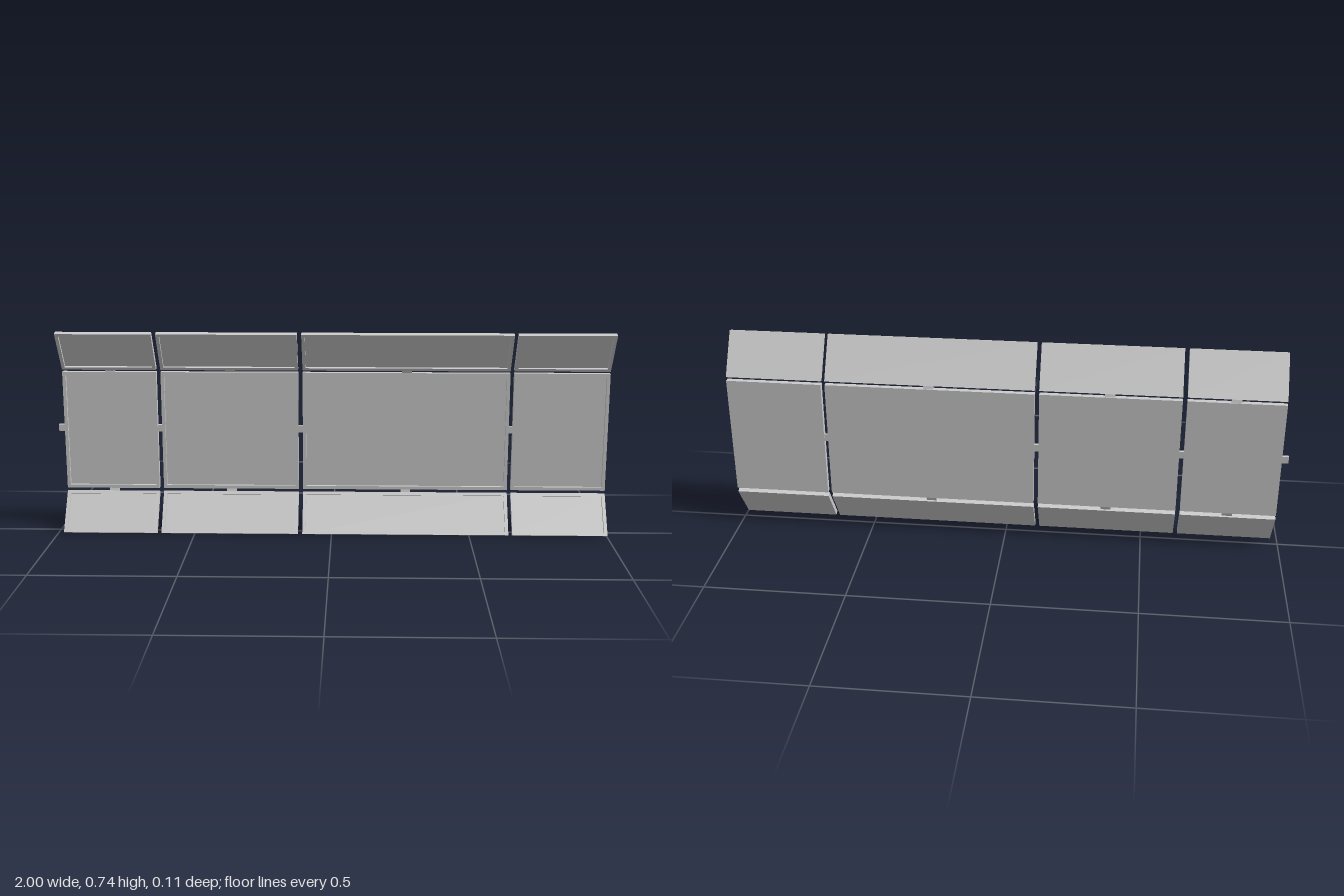
import * as THREE from 'three';

const material = new THREE.MeshStandardMaterial({ color: 0xcccccc });
const RIM = 0.012;    // width of the raised border
const PLATE = 0.5;    // plate share of the full thickness

// Panel columns as [left edge, right edge]
const columns = [[-0.977, -0.636], [-0.62, -0.122], [-0.106, 0.642], [0.656, 1.0]];

// Panel rows: back lower edge, back upper edge and thickness vector, each as [y, z]
const rows = {
  centre: { from: [0.152, -0.056], to: [0.587, -0.056], thick: [0, 0.02] },
  upperFlap: { from: [0.6005, -0.0545], to: [0.7445, 0.0385], thick: [-0.006, 0.0178] },
  lowerFlap: { from: [0.002, 0.04], to: [0.1355, -0.0535], thick: [0.007, 0.0178] },
};

function rectangle(target, w, h) {
  target.moveTo(-w / 2, 0 - h / 2);
  target.lineTo(w / 2, -h / 2);
  target.lineTo(w / 2, h / 2);
  target.lineTo(-w / 2, h / 2);
  target.closePath();
  return target;
}

// Tray-like panel: a back plate with a raised border on its front
function makePanel(name, x0, x1, { from, to, thick }) {
  const dy = to[0] - from[0], dz = to[1] - from[1];
  const w = x1 - x0, h = Math.hypot(dy, dz);

  const outline = rectangle(new THREE.Shape(), w, h);
  outline.holes.push(rectangle(new THREE.Path(), w - 2 * RIM, h - 2 * RIM));
  const rim = new THREE.ExtrudeGeometry(outline, { depth: 1 - PLATE, bevelEnabled: false });
  rim.translate(0, 0, PLATE);
  const plate = new THREE.BoxGeometry(w, h, PLATE).translate(0, 0, PLATE / 2);

  // Lay the panel along its row direction, slightly sheared on the flaps
  const placement = new THREE.Matrix4().makeBasis(
    new THREE.Vector3(1, 0, 0),
    new THREE.Vector3(0, dy / h, dz / h),
    new THREE.Vector3(0, thick[0], thick[1]),
  ).setPosition((x0 + x1) / 2, (from[0] + to[0]) / 2, (from[1] + to[1]) / 2);

  const group = new THREE.Group();
  group.name = name;
  for (const [part, geometry] of [['rim', rim], ['plate', plate]]) {
    const mesh = new THREE.Mesh(geometry.applyMatrix4(placement), material);
    mesh.name = part;
    group.add(mesh);
  }
  return group;
}

function makeTab(name, w, h, d, x, y, z) {
  const mesh = new THREE.Mesh(new THREE.BoxGeometry(w, h, d), material);
  mesh.name = name;
  mesh.position.set(x, y, z);
  return mesh;
}

export function createModel() {
  const model = new THREE.Group();
  model.name = 'foldingPanelArray';

  columns.forEach(([x0, x1], i) => {
    for (const [name, row] of Object.entries(rows)) {
      model.add(makePanel(`${name}Panel${i + 1}`, x0, x1, row));
    }

    // Tab on the column's right-hand side, joining its neighbour
    const end = i === 0 ? -1.0 : columns[i - 1][1] - 0.004;
    model.add(makeTab(`sideTab${i + 1}`, x0 + 0.004 - end, 0.026, 0.01,
      (end + x0 + 0.004) / 2, 0.377, -0.049));

    // Flap hinges, absent on the last column
    if (i < 3) {
      const x = (x0 + x1) / 2 + 0.002;
      const upper = makeTab(`upperHinge${i + 1}`, 0.036, 0.026, 0.009, x, 0.594, -0.0455);
      const lower = makeTab(`lowerHinge${i + 1}`, 0.036, 0.026, 0.009, x, 0.146, -0.0455);
      upper.rotation.x = 0.3;
      lower.rotation.x = -0.3;
      model.add(upper, lower);
    }
  });
  return model;
}
